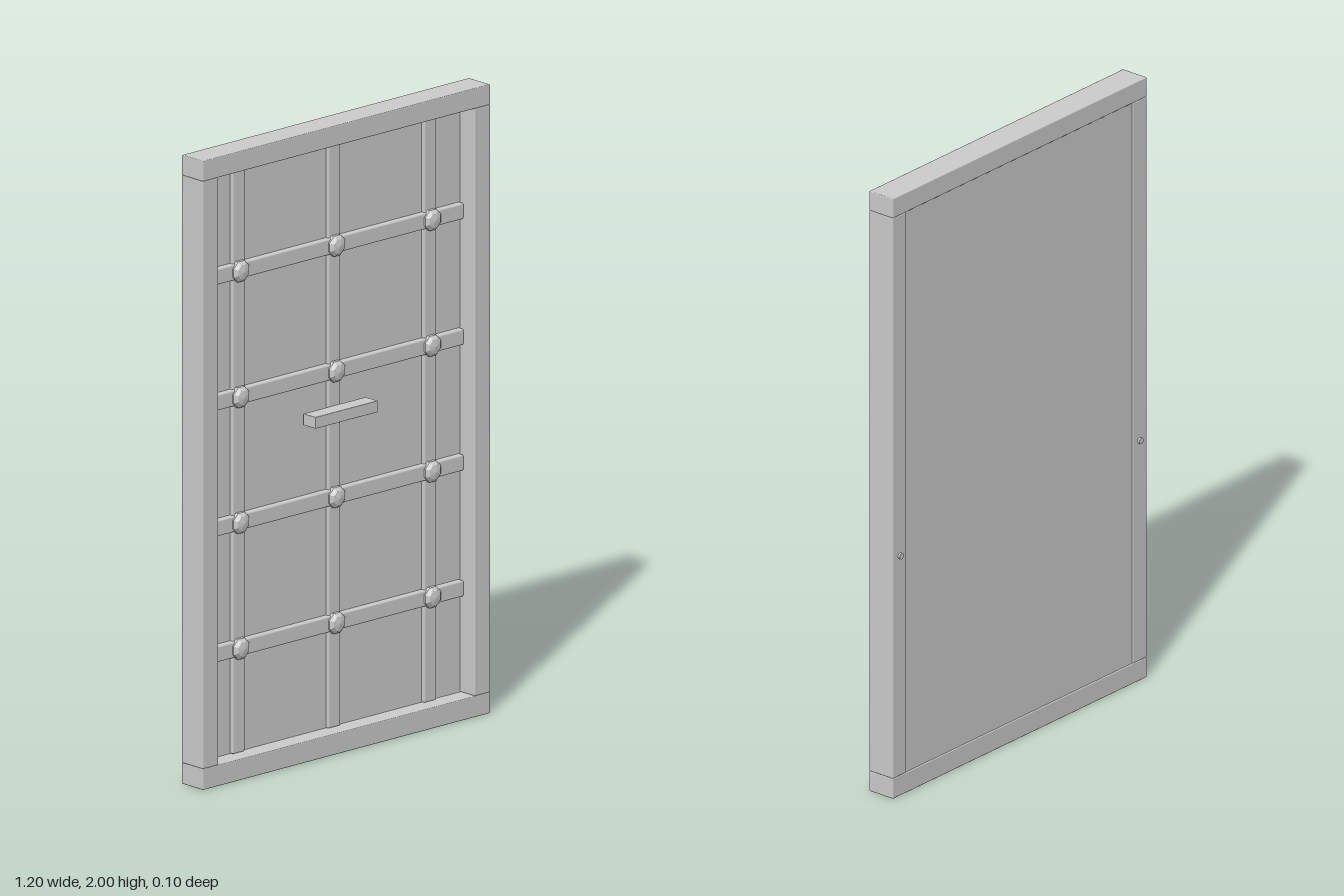
import * as THREE from 'three';
import { RoundedBoxGeometry } from 'three/addons/geometries/RoundedBoxGeometry.js';

export function createModel() {
  const group = new THREE.Group();
  group.name = 'door';
  const grey = new THREE.MeshStandardMaterial({ color: 0xcccccc });
  grey.name = 'plain grey';

  const add = (name, geometry, x, y, z) => {
    const mesh = new THREE.Mesh(geometry, grey);
    mesh.name = name;
    mesh.position.set(x, y, z);
    group.add(mesh);
    return mesh;
  };

  // Softly bevelled box given by its limits on each axis
  const block = (name, [x0, x1], [y0, y1], [z0, z1], bevel = 0.003) =>
    add(name, new RoundedBoxGeometry(x1 - x0, y1 - y0, z1 - z0, 1, bevel),
      (x0 + x1) / 2, (y0 + y1) / 2, (z0 + z1) / 2);

  const frameZ = [-0.045, 0.05];

  // Frame: top and bottom rails with a post on each side
  block('topRail', [-0.6, 0.6], [1.935, 2], frameZ);
  block('bottomRail', [-0.6, 0.6], [0, 0.067], frameZ);
  block('leftPost', [0.535, 0.6], [0.067, 1.935], frameZ);
  block('rightPost', [-0.6, -0.535], [0.067, 1.935], frameZ);

  // Recessed panel, nearly flush at the back
  add('panel', new THREE.BoxGeometry(1.08, 1.88, 0.026), 0, 1, -0.028);

  // Lattice straps
  const columns = [-0.4, 0, 0.4];
  const rows = [0.4, 0.8, 1.2, 1.6];
  for (const x of columns) {
    block('verticalStrap', [x - 0.026, x + 0.026], [0.066, 1.936], [-0.026, -0.003], 0.006);
  }
  for (const y of rows) {
    block('horizontalStrap', [-0.535, 0.535], [y - 0.026, y + 0.026], [-0.026, 0.003], 0.006);
  }

  // Faceted studs where the straps cross
  const profile = [[0.035, -0.015], [0.035, 0.008], [0.024, 0.018], [0, 0.022]]
    .map(([r, h]) => new THREE.Vector2(r, h));
  const studGeometry = new THREE.LatheGeometry(profile, 8).toNonIndexed();
  studGeometry.rotateX(Math.PI / 2);
  studGeometry.rotateZ(Math.PI / 8);
  studGeometry.computeVertexNormals();
  for (const x of columns) for (const y of rows) add('stud', studGeometry, x, y, 0);

  // Handle bar
  block('handle', [-0.13, 0.13], [1.053, 1.09], [-0.004, 0.05], 0.002);

  // Small pins on the back of the posts
  const pinGeometry = new THREE.CylinderGeometry(0.01, 0.01, 0.014, 12);
  pinGeometry.rotateX(Math.PI / 2);
  for (const side of [-1, 1]) add('backPin', pinGeometry, side * 0.566, 0.8, -0.045);

  return group;
}
